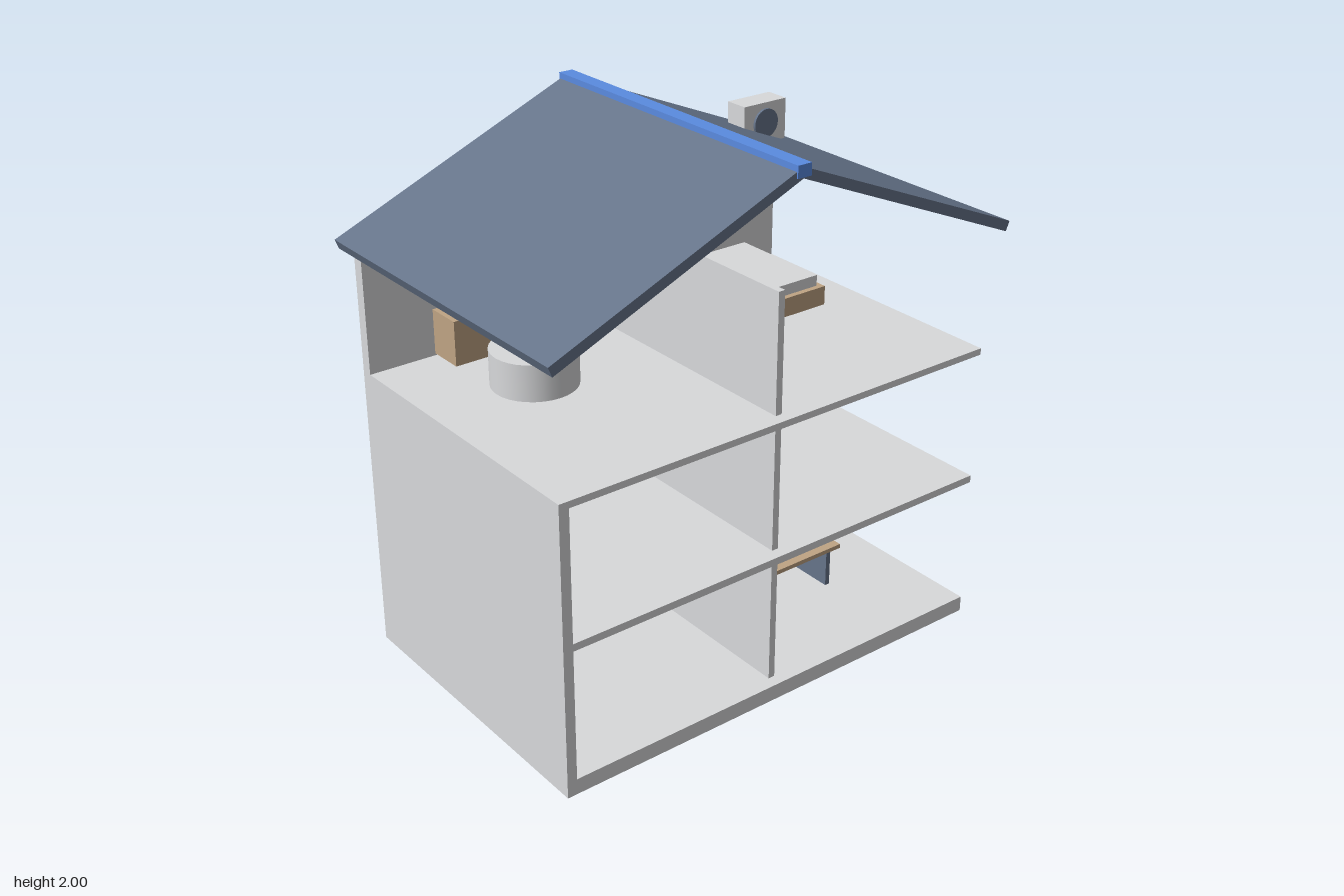
import * as THREE from 'three';

export function createModel() {
  const house = new THREE.Group();
  house.name = 'dollhouse';

  const mat = (name, color) => {
    const m = new THREE.MeshStandardMaterial({ color });
    m.name = name;
    return m;
  };
  const pale = mat('pale grey', 0xd8d9db);
  const wood = mat('wood', 0xbfa484);
  const blue = mat('blue', 0x5a8be0);
  const slate = mat('slate', 0x66748a);

  const add = (parent, name, geometry, material) => {
    const m = new THREE.Mesh(geometry, material);
    m.name = name;
    parent.add(m);
    return m;
  };
  const group = (name) => {
    const g = new THREE.Group();
    g.name = name;
    house.add(g);
    return g;
  };
  // Box given by its limits on each axis
  const box = (parent, name, material, x0, x1, y0, y1, z0, z1) => {
    const m = add(parent, name, new THREE.BoxGeometry(x1 - x0, y1 - y0, z1 - z0), material);
    m.position.set((x0 + x1) / 2, (y0 + y1) / 2, (z0 + z1) / 2);
    return m;
  };
  // Upright cylinder given by centre, radius and height range
  const drum = (parent, name, material, x, z, r, y0, y1) => {
    const m = add(parent, name, new THREE.CylinderGeometry(r, r, y1 - y0, 32), material);
    m.position.set(x, (y0 + y1) / 2, z);
    return m;
  };
  // Round disc facing the front
  const disc = (parent, name, x, y, z, r) => {
    const m = add(parent, name, new THREE.CylinderGeometry(r, r, 0.02, 32), slate);
    m.rotation.x = Math.PI / 2;
    m.position.set(x, y, z);
  };

  // Shell: base, floors, walls and partitions
  const shell = group('shell');
  box(shell, 'base', pale, -0.913, 0.913, 0, 0.06, -0.595, 0.595);
  box(shell, 'backWall', pale, -0.913, 0.913, 0.06, 1.55, -0.595, -0.55);
  box(shell, 'sideWall', pale, -0.913, -0.875, 0.06, 1.08, -0.55, 0.595);
  box(shell, 'middleFloor', pale, -0.875, 0.913, 0.56, 0.588, -0.55, 0.595);
  box(shell, 'topFloor', pale, -0.913, 0.913, 1.08, 1.105, -0.55, 0.595);
  [[0.06, 0.56], [0.588, 1.08], [1.105, 1.55]].forEach(([y0, y1]) =>
    box(shell, 'partition', pale, -0.013, 0.013, y0, y1, -0.55, 0.55));

  // Roof: two mirrored slopes and a ridge cap
  const roof = group('roof');
  for (const s of [-1, 1]) {
    const section = new THREE.Shape();
    section.moveTo(0, 1.99);
    section.lineTo(s * 0.96, 1.59);
    section.lineTo(s * 0.946, 1.555);
    section.lineTo(0, 1.952);
    section.closePath();
    const slope = new THREE.ExtrudeGeometry(section, { depth: 1.27, bevelEnabled: false });
    add(roof, 'roofSlope', slope, slate).position.z = -0.635;
  }
  box(roof, 'ridgeCap', blue, -0.028, 0.028, 1.957, 2, -0.64, 0.64);

  // Fan unit on the roof
  const fan = group('roofUnit');
  box(fan, 'roofUnitBody', pale, 0.577, 0.775, 1.675, 1.83, -0.43, -0.335);
  disc(fan, 'roofUnitFan', 0.676, 1.753, -0.335, 0.055);

  // Ground floor, utility room
  const utility = group('utilityRoom');
  box(utility, 'washerBody', pale, -0.75, -0.57, 0.06, 0.275, -0.53, -0.36);
  disc(utility, 'washerDoor', -0.66, 0.173, -0.36, 0.055);
  drum(utility, 'waterTank', pale, -0.3, -0.47, 0.067, 0.283, 0.463);
  drum(utility, 'waterPipe', pale, -0.3, -0.47, 0.009, 0.185, 0.283);

  // Ground floor, kitchen
  const kitchen = group('kitchen');
  box(kitchen, 'counter', wood, 0.063, 0.82, 0.06, 0.256, -0.535, -0.352);
  box(kitchen, 'counterTop', pale, 0.057, 0.825, 0.256, 0.27, -0.54, -0.346);
  box(kitchen, 'fridge', pale, 0.677, 0.868, 0.062, 0.515, -0.535, -0.355);
  box(kitchen, 'wallCabinet', pale, 0.083, 0.59, 0.388, 0.535, -0.548, -0.45);
  box(kitchen, 'tableTop', wood, 0.232, 0.61, 0.218, 0.235, 0.025, 0.235);
  for (const x of [0.275, 0.57]) {
    box(kitchen, 'tableLeg', slate, x - 0.01, x + 0.01, 0.06, 0.218, 0.045, 0.215);
  }

  // Middle floor, study
  const study = group('study');
  box(study, 'wallUnit', blue, -0.875, -0.762, 0.82, 0.97, -0.32, 0);
  box(study, 'desk', wood, -0.7, -0.237, 0.738, 0.755, -0.545, -0.33);
  box(study, 'screen', slate, -0.563, -0.375, 0.772, 0.89, -0.48, -0.45);

  // Middle floor, lounge
  const lounge = group('lounge');
  box(lounge, 'sofaSeat', pale, 0.17, 0.757, 0.61, 0.7, -0.452, -0.222);
  box(lounge, 'sofaBack', pale, 0.17, 0.757, 0.7, 0.793, -0.455, -0.41);
  for (let i = 0; i < 6; i++) {
    const x = 0.249 + i * 0.0805;
    box(lounge, 'wallSlat', wood, x - 0.018, x + 0.018, 0.64, 1.065, -0.55, -0.53);
  }

  // Top floor, bathroom
  const bath = group('bathroom');
  drum(bath, 'tub', pale, -0.51, -0.13, 0.155, 1.118, 1.253);
  box(bath, 'vanity', wood, -0.657, -0.28, 1.118, 1.287, -0.54, -0.4);
  box(bath, 'mirror', pale, -0.615, -0.323, 1.317, 1.51, -0.55, -0.53);

  // Top floor, bedroom
  const bedroom = group('bedroom');
  box(bedroom, 'bedFrame', wood, 0.21, 0.717, 1.118, 1.192, -0.483, -0.02);
  box(bedroom, 'mattress', pale, 0.233, 0.695, 1.192, 1.235, -0.463, -0.042);
  box(bedroom, 'airUnit', blue, 0.305, 0.62, 1.435, 1.522, -0.55, -0.49);

  return house;
}
